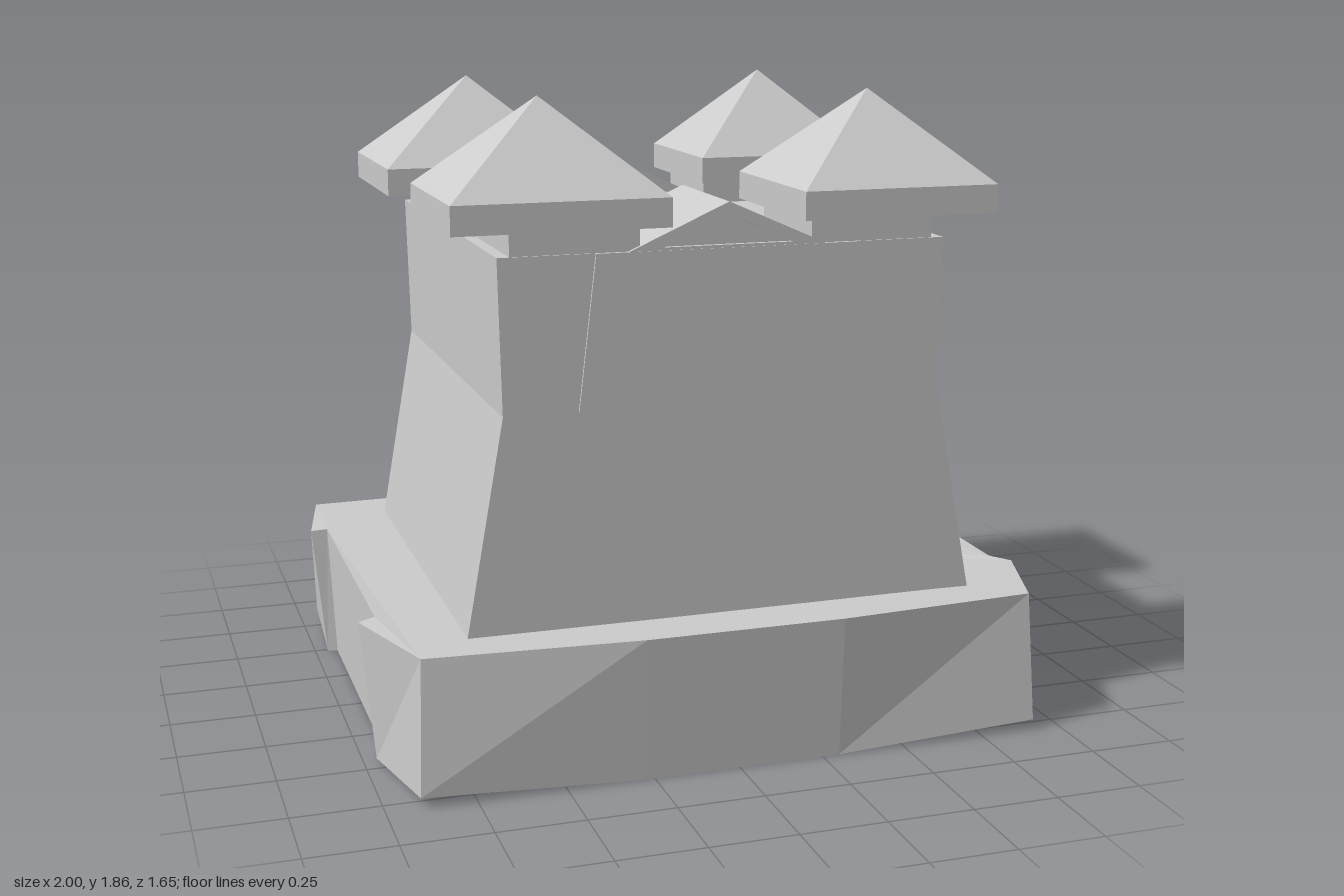
import * as THREE from 'three';
import { ConvexGeometry } from 'three/addons/geometries/ConvexGeometry.js';

const material = new THREE.MeshStandardMaterial({ color: 0xcccccc, flatShading: true });

function add(parent, name, geometry) {
  const mesh = new THREE.Mesh(geometry, material);
  mesh.name = name;
  parent.add(mesh);
  return mesh;
}

// Closed solid through rings of [x, y, z], counter-clockwise seen from above
function loft(rings) {
  const n = rings[0].length;
  const index = [];
  for (let r = 0; r < rings.length - 1; r++) {
    for (let i = 0; i < n; i++) {
      const a = r * n + i, b = r * n + (i + 1) % n;
      index.push(a, b, b + n, a, b + n, a + n);
    }
  }
  const cap = (ring) => THREE.ShapeUtils.triangulateShape(ring.map(([x, , z]) => new THREE.Vector2(x, -z)), []);
  const top = (rings.length - 1) * n;
  for (const [a, b, c] of cap(rings[0])) index.push(c, b, a);
  for (const [a, b, c] of cap(rings[rings.length - 1])) index.push(a + top, b + top, c + top);
  const g = new THREE.BufferGeometry();
  g.setAttribute('position', new THREE.Float32BufferAttribute(rings.flat(2), 3));
  g.setIndex(index);
  const flat = g.toNonIndexed();
  flat.computeVertexNormals();
  return flat;
}

// Rectangular ring at height y
const rect = (x0, x1, z0, z1, y) => [[x0, y, z1], [x1, y, z1], [x1, y, z0], [x0, y, z0]];

// Outline in x, y extruded from z0 to z1
function prism(points, z0, z1, hole) {
  const shape = new THREE.Shape(points.map(([x, y]) => new THREE.Vector2(x, y)));
  if (hole) shape.holes.push(new THREE.Path(hole.map(([x, y]) => new THREE.Vector2(x, y))));
  return new THREE.ExtrudeGeometry(shape, { depth: z1 - z0, bevelEnabled: false }).translate(0, 0, z0);
}

export function createModel() {
  const model = new THREE.Group();
  model.name = 'gatehouse';

  // Foundation with bowed front and stepped corner blocks
  const baseTop = [
    [-0.89, 0.41, 0.77], [-0.28, 0.415, 0.825], [0.3, 0.415, 0.825], [0.9, 0.41, 0.77],
    [1.0, 0.41, 0.47], [0.95, 0.415, 0.42], [0.95, 0.415, -0.45], [1.0, 0.41, -0.51],
    [0.93, 0.41, -0.795], [0.53, 0.415, -0.79], [0.53, 0.42, -0.76],
    [-0.53, 0.42, -0.76], [-0.53, 0.415, -0.79], [-0.94, 0.41, -0.795],
    [-1.0, 0.41, -0.49], [-0.95, 0.415, -0.48], [-0.95, 0.415, 0.41], [-1.0, 0.41, 0.43],
  ];
  const baseBottom = [
    [-0.905, 0.03, 0.8], [-0.28, 0, 0.8], [0.3, 0, 0.8], [0.915, 0.03, 0.8],
    [0.94, 0, 0.47], [0.92, 0, 0.42], [0.92, 0, -0.45], [0.95, 0, -0.51],
    [0.925, 0.03, -0.83], [0.53, 0, -0.8], [0.53, 0, -0.76],
    [-0.53, 0, -0.76], [-0.53, 0, -0.8], [-0.945, 0.03, -0.83],
    [-0.96, 0, -0.49], [-0.93, 0, -0.48], [-0.93, 0, 0.41], [-0.96, 0, 0.43],
  ];
  add(model, 'foundation', loft([baseBottom, baseTop]));

  // Main block with flared lower walls
  add(model, 'mainBlock', loft([
    rect(-0.74, 0.76, -0.63, 0.655, 0.4),
    rect(-0.63, 0.64, -0.63, 0.655, 1.02),
    rect(-0.64, 0.645, -0.63, 0.655, 1.45),
  ]));
  add(model, 'frontPanel', prism([[-0.42, 1.02], [0.43, 1.02], [0.38, 1.45], [-0.37, 1.45]], 0.64, 0.662));

  // Corner turrets: [name, cap x0, x1, z0, z1, apex x, z]
  const turrets = [
    ['frontRightTurret', -0.775, -0.175, 0.19, 0.72, -0.475, 0.455],
    ['frontLeftTurret', 0.205, 0.78, 0.19, 0.715, 0.49, 0.455],
    ['backRightTurret', -0.775, -0.175, -0.705, -0.165, -0.475, -0.43],
    ['backLeftTurret', 0.22, 0.77, -0.685, -0.185, 0.49, -0.43],
  ];
  for (const [name, x0, x1, z0, z1, ax, az] of turrets) {
    const turret = new THREE.Group();
    turret.name = name;
    const neckX = ax < 0 ? -0.425 : 0.43, neckZ = az < 0 ? -0.43 : 0.465;
    add(turret, 'neck', new THREE.BoxGeometry(0.36, 0.1, az < 0 ? 0.34 : 0.37)).position.set(neckX, 1.48, neckZ);
    const corners = [...rect(x0, x1, z0, z1, 1.52), ...rect(x0, x1, z0, z1, 1.6), [ax, 1.855, az]];
    add(turret, 'pyramidRoof', new ConvexGeometry(corners.map((p) => new THREE.Vector3(...p))));
    model.add(turret);
  }

  // Low ridge linking the two gables
  add(model, 'centreRoof', prism([[-0.24, 1.44], [0.25, 1.44], [0.25, 1.455], [0.005, 1.525], [-0.24, 1.455]], -0.25, 0.27));

  // Gables with a slightly recessed pediment
  const gable = [[-0.29, 1.445], [0.3, 1.445], [0.005, 1.575]];
  const pediment = [[-0.18, 1.458], [0.005, 1.54], [0.19, 1.458]];
  for (const [name, z0, z1, face] of [['front', 0.26, 0.645, 0.66], ['back', -0.62, -0.24, -0.635]]) {
    add(model, name + 'Gable', prism(gable, z0, z1));
    add(model, name + 'GableFrame', prism(gable, Math.min(face, z0), Math.max(face, z1), pediment));
  }
  return model;
}
